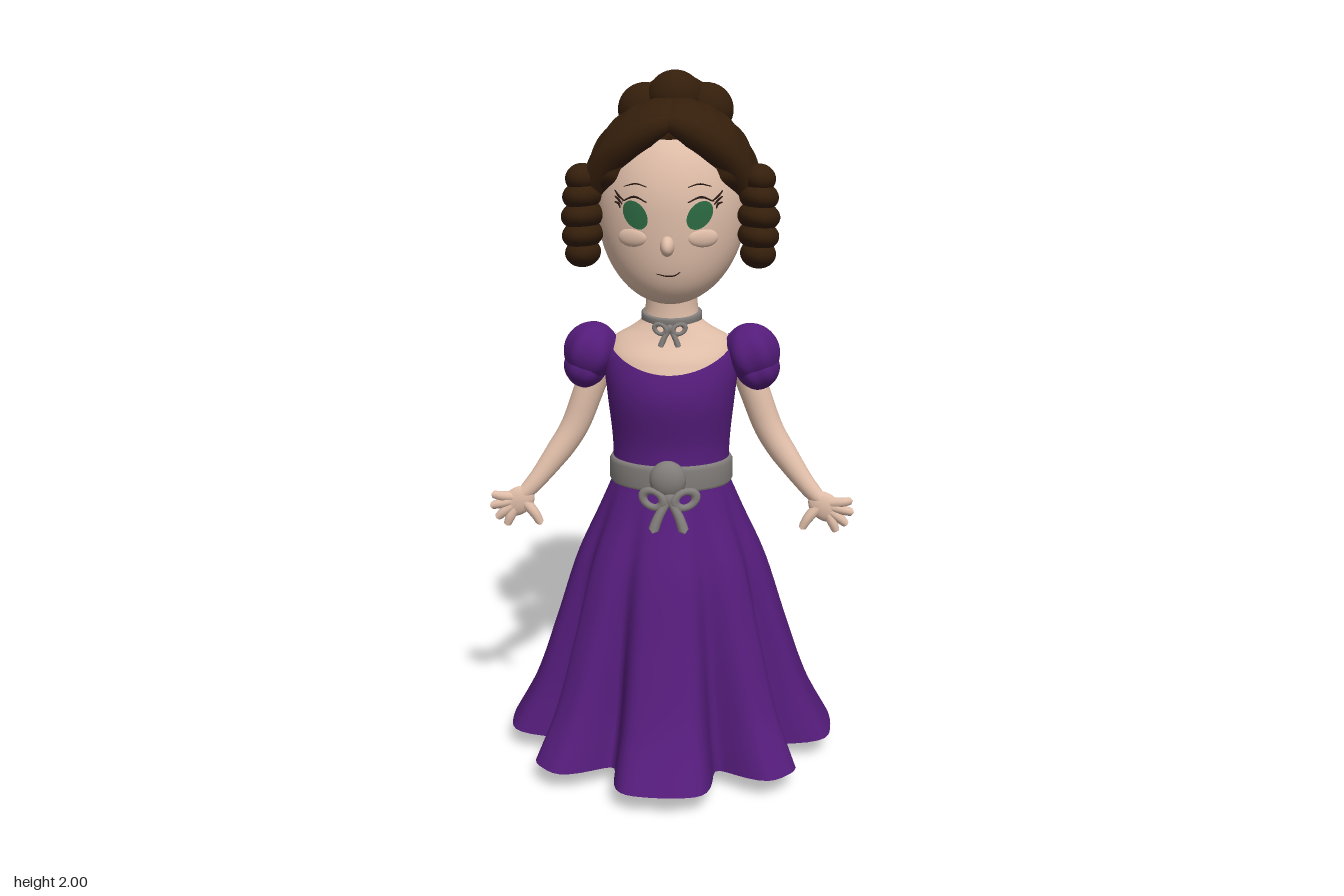
import * as THREE from 'three';
import { ParametricGeometry } from 'three/addons/geometries/ParametricGeometry.js';

const mat = (name, color) => Object.assign(new THREE.MeshStandardMaterial({ color }), { name });
const V = (x, y, z) => new THREE.Vector3(x, y, z);
const lerp = THREE.MathUtils.lerp, smooth = THREE.MathUtils.smoothstep;

// Smooth lookup in rows of [y, value, value...], y rising
function profile(rows) {
  return y => {
    let i = 0;
    while (i < rows.length - 2 && y > rows[i + 1][0]) i++;
    const b = rows[i], c = rows[i + 1], a = rows[i - 1] ?? b, d = rows[i + 2] ?? c;
    const h = c[0] - b[0], t = THREE.MathUtils.clamp((y - b[0]) / h, 0, 1);
    return b.slice(1).map((v, k) => {
      const m0 = h * (c[k + 1] - a[k + 1]) / (c[0] - a[0]), m1 = h * (d[k + 1] - v) / (d[0] - b[0]);
      const w = c[k + 1];
      return v + m0 * t + (3 * (w - v) - 2 * m0 - m1) * t * t + (2 * (v - w) + m0 + m1) * t ** 3;
    });
  };
}

// Tube with changing radius and a rounded tip
function limb(points, radii, segments = 20, sides = 14) {
  const curve = new THREE.CatmullRomCurve3(points);
  const g = new THREE.TubeGeometry(curve, segments, 1, sides), p = g.attributes.position, v = V();
  for (let i = 0; i <= segments; i++) {
    const t = i / segments, f = t * (radii.length - 1), k = Math.min(Math.floor(f), radii.length - 2);
    const tip = THREE.MathUtils.clamp((t - 0.85) / 0.15, 0, 1);
    const r = lerp(radii[k], radii[k + 1], f - k) * Math.sqrt(1 - tip * tip);
    const c = curve.getPointAt(t);
    for (let j = 0; j <= sides; j++) {
      const n = i * (sides + 1) + j;
      v.fromBufferAttribute(p, n).sub(c).multiplyScalar(r).add(c);
      p.setXYZ(n, v.x, v.y, v.z);
    }
  }
  return g;
}

// Front surface of the face
const faceZ = (x, y) => {
  const b = (y - 1.62) / 0.26;
  return -0.02 + 0.21 * Math.sqrt(Math.max(0, 1 - (x / 0.21) ** 2 - b * b)) + (b < 0 ? 0.08 * b * b : 0);
};

const torsoAt = profile([
  [0.83, 0.17, 0.15, 0.015], [0.95, 0.17, 0.145, 0.01], [1.1, 0.185, 0.158, 0.015],
  [1.2, 0.195, 0.14, 0], [1.25, 0.18, 0.115, -0.02], [1.285, 0.115, 0.085, -0.015],
  [1.315, 0.08, 0.07, -0.012], [1.42, 0.075, 0.068, -0.01]]);
const skirtAt = profile([[0.05, 0.495], [0.2, 0.415], [0.4, 0.345], [0.6, 0.28], [0.75, 0.212], [0.85, 0.168]]);

// Skirt with eight rounded folds that deepen toward the hem, wide ones alternating with narrow ones
function skirtPoint(u, y, inset, target) {
  const a = u * Math.PI * 2, t = (0.85 - y) / 0.79;
  const deg = Math.abs(((u * 360 + 45) % 90) - 45), wide = deg < 25.8;
  const w = Math.cos(Math.PI * (wide ? deg / 25.8 : (45 - deg) / 19.2));
  const fold = ((1 - w) / 2) ** (wide ? 4.5 : 2);
  const r = (skirtAt(y)[0] - inset) * (1 - 0.3 * Math.max(0, t) * fold);
  target.set(r * Math.sin(a), y - 0.012 * t * fold, r * Math.cos(a) * lerp(0.88, 1, t) + lerp(0.015, 0, t));
}

export function createModel() {
  const model = new THREE.Group();
  const skin = mat('skin', 0xdfbda8), purple = mat('purple cloth', 0x541c7a), brown = mat('brown hair', 0x341e0b);
  const gray = mat('gray ribbon', 0x817d7a), green = mat('green eyes', 0x2c6a42);
  const black = mat('black leather', 0x222222), dark = mat('dark lashes', 0x2a1a14);

  const add = (name, geo, m, pos, scale, rot) => {
    const mesh = new THREE.Mesh(geo, m);
    mesh.name = name;
    if (pos) mesh.position.set(...pos);
    if (scale) mesh.scale.set(...scale);
    if (rot) mesh.rotation.set(...rot);
    model.add(mesh);
  };
  const ball = new THREE.SphereGeometry(1, 28, 20);

  // Skirt: outside, broad hem lip and lining
  add('skirt', new ParametricGeometry((u, v, p) => skirtPoint(u, 0.062 + v * 0.785, 0, p), 160, 30), purple);
  add('skirtHem', new ParametricGeometry((u, v, p) => skirtPoint(u, 0.062, 0.08 * (1 - v), p), 160, 2), purple);
  add('skirtLining', new ParametricGeometry((u, v, p) => skirtPoint(u, 0.72 - v * 0.658, 0.08, p), 160, 20), purple);
  add('liningTop', new THREE.CircleGeometry(0.17, 32), purple, [0, 0.7, 0], null, [Math.PI / 2, 0, 0]);

  // Bodice with a scooped neckline, over chest and neck
  add('bodice', new ParametricGeometry((u, v, p) => {
    const a = u * Math.PI * 2, c = Math.cos(a);
    const top = 1.262 - (c > 0 ? 0.09 * c ** 1.5 : 0.025 * c * c);
    const y = lerp(0.83, top, v), [rx, rz, cz] = torsoAt(y);
    p.set(rx * Math.sin(a), y, cz + rz * c);
  }, 64, 30), purple);
  add('chestAndNeck', new ParametricGeometry((u, v, p) => {
    const a = u * Math.PI * 2, y = lerp(1.08, 1.42, v), [rx, rz, cz] = torsoAt(y);
    const k = lerp(0.95, 1, smooth(y, 1.25, 1.3));
    p.set(k * rx * Math.sin(a), y, cz + k * rz * Math.cos(a));
  }, 48, 30), skin);

  // Belt and choker bands
  const band = (r, h, t) => new THREE.LatheGeometry([[r - t, -h], [r - t / 3, -h], [r, -h * 0.7], [r, h * 0.7],
    [r - t / 3, h], [r - t, h]].map(q => new THREE.Vector2(...q)), 48);
  add('belt', band(0.18, 0.038, 0.02), gray, [0, 0.872, 0.014], [1, 1, 0.87]);
  add('choker', band(0.087, 0.014, 0.016), gray, [0, 1.317, -0.011], [1, 1, 0.9], [0.2, 0, 0]);

  // Bows: knot, two loops and two tails each
  const bow = (name, x, y, z, s, lean) => {
    add(name + 'Knot', ball, gray, [x, y, z], [0.2 * s, 0.2 * s, 0.13 * s]);
    for (const k of [-1, 1]) {
      add(name + 'Loop', new THREE.TorusGeometry(0.25 * s, 0.11 * s, 10, 20), gray,
        [x + k * 0.4 * s, y, z], [1.1, 0.8, 0.8], [0, k * 0.3, k * 0.35]);
      add(name + 'Tail', limb([V(x, y, z), V(x + k * 0.25 * s, y - 0.4 * s, z + lean * 0.6),
        V(x + k * 0.4 * s, y - 0.8 * s, z + lean)], [0.09 * s, 0.12 * s, 0.14 * s], 10, 8), gray);
    }
  };
  bow('beltBow', 0.005, 0.823, 0.186, 0.115, 0.03);
  bow('chokerBow', 0, 1.29, 0.08, 0.066, 0.012);
  add('beltRosette', ball, gray, [0, 0.876, 0.17], [0.052, 0.055, 0.034]);

  // Head and nose
  const head = new THREE.SphereGeometry(1, 48, 36), hp = head.attributes.position;
  for (let i = 0; i < hp.count; i++) {
    const b = hp.getY(i);
    hp.setXYZ(i, hp.getX(i) * 0.21, 1.62 + 0.26 * b, -0.02 + 0.21 * hp.getZ(i) + (b < 0 ? 0.08 * b * b : 0));
  }
  head.computeVertexNormals();
  add('head', head, skin);
  add('nose', ball, skin, [0, 1.535, 0.182], [0.02, 0.027, 0.036], [0.35, 0, 0]);

  // Lines laid on the face
  const faceLine = (name, pts, r) => add(name, limb(pts.map(([x, y]) => V(x, y, faceZ(x, y) + 0.001)),
    [r * 0.5, r, r * 0.5], 14, 6), dark);
  faceLine('mouth', [[-0.03, 1.458], [0, 1.452], [0.022, 1.455], [0.036, 1.465]], 0.0024);

  // Hair cap: hairline high in front, low at the nape, grooves running to the bun
  add('hair', new ParametricGeometry((u, v, p) => {
    const f = u * Math.PI * 2, s = Math.sin(f);
    const th = Math.max(v, 0.001) * THREE.MathUtils.degToRad(lerp(78, 137, smooth(s, -0.6, 0.35)));
    const x = Math.sin(th) * Math.cos(f), y = Math.sin(th) * s, z = -Math.cos(th);
    const around = Math.atan2(x, 0.76 * y + 0.65 * z);
    const part = y > 0 ? 0.02 * Math.exp(-((x / 0.05) ** 2)) * smooth(z, -0.5, 0) : 0;
    const edge = 0.14 * Math.max(0, (v - 0.9) / 0.1) ** 2;
    const k = 1 + 0.007 * Math.cos(24 * around) * (1 - smooth(z, 0, 0.6)) - part - edge;
    p.set(0.252 * x * k, 1.66 + 0.263 * y * k, -0.05 + (z > 0 ? 0.28 : 0.235) * z * k);
  }, 160, 56), brown);

  // Bun: ring of lobes round a dome, tilted up and back
  add('bunCenter', ball, brown, [0, 1.868, -0.228], [0.128, 0.12, 0.12]);
  for (let i = 0; i < 6; i++) {
    const a = i / 6 * Math.PI * 2, c = Math.cos(a) * 0.09;
    add('bunLobe', ball, brown, [0.088 * Math.sin(a) / 0.866, 1.853 + 0.76 * c, -0.22 + 0.65 * c], [0.08, 0.077, 0.074]);
  }

  for (const s of [1, -1]) {
    // Swept front lock along the hairline
    add('frontLock', limb([V(s * -0.008, 1.855, 0.1), V(s * 0.05, 1.838, 0.122), V(s * 0.115, 1.8, 0.118),
      V(s * 0.175, 1.745, 0.09), V(s * 0.22, 1.66, 0.05)], [0.022, 0.042, 0.045, 0.042, 0.03], 28, 16), brown);

    // Eye, lid fold, lashes and brow
    const eye = new THREE.RingGeometry(0.001, 1, 28, 6), ep = eye.attributes.position;
    for (let i = 0; i < ep.count; i++) {
      const ex = ep.getX(i) * 0.033, ey = ep.getY(i) * 0.038;
      const x = s * 0.087 + ex + s * 0.3 * ey, y = 1.616 + ey;
      ep.setXYZ(i, x, y, faceZ(x, y) + 0.004);
    }
    eye.computeVertexNormals();
    add('eye', eye, green);
    add('lowerLid', ball, skin, [s * 0.095, 1.555, faceZ(0.095, 1.555) - 0.006], [0.045, 0.026, 0.013], [0, s * 0.45, 0]);
    faceLine('upperLashes', [[s * 0.055, 1.65], [s * 0.09, 1.664], [s * 0.125, 1.65]], 0.003);
    for (const k of [0, 1, 2])
      faceLine('lash', [[s * (0.118 + k * 0.006), 1.652 - k * 0.01], [s * 0.134, 1.664 - k * 0.01], [s * 0.147, 1.68 - k * 0.016]], 0.0035);
    faceLine('brow', [[s * 0.055, 1.69], [s * 0.085, 1.698], [s * 0.12, 1.69]], 0.0022);

    // Side curls: stacked coils
    [[1.706, 0.046, 0.066], [1.658, 0.055, 0.078], [1.605, 0.06, 0.082], [1.552, 0.058, 0.08], [1.502, 0.05, 0.068]]
      .forEach(([y, rx, rz]) => add('curl', ball, brown, [s * 0.244, y, 0.058], [rx, 0.041, rz], [0, 0, s * -0.12]));

    // Puff sleeve with soft gathers, and its lower puff
    const puff = new THREE.SphereGeometry(1, 48, 24), pp = puff.attributes.position;
    for (let i = 0; i < pp.count; i++) {
      const x = pp.getX(i), z = pp.getZ(i), k = 1 + 0.05 * Math.cos(6 * Math.atan2(z, x)) * Math.hypot(x, z);
      pp.setXYZ(i, x * k, pp.getY(i), z * k);
    }
    puff.computeVertexNormals();
    add('puffSleeve', puff, purple, [s * 0.23, 1.212, 0.004], [0.078, 0.085, 0.094], [0, 0, s * 0.3]);
    add('sleeveCuff', puff, purple, [s * 0.248, 1.165, 0.004], [0.062, 0.06, 0.083], [0, 0, s * 0.35]);

    // Arm and hand
    add('arm', limb([V(s * 0.205, 1.2, -0.01), V(s * 0.244, 1.09, -0.006), V(s * 0.288, 0.98, 0),
      V(s * 0.352, 0.885, 0.02), V(s * 0.41, 0.812, 0.038), V(s * 0.46, 0.765, 0.048)],
      [0.047, 0.044, 0.042, 0.038, 0.028, 0.022], 30, 18), skin);
    add('palm', ball, skin, [s * 0.45, 0.766, 0.047], [0.054, 0.04, 0.019], [0, 0, s * -0.7]);
    [[0.53, 0.787], [0.535, 0.75], [0.517, 0.712], [0.486, 0.69], [0.382, 0.695]].forEach(([x, y], i) => {
      const thumb = i === 4, a = thumb ? [0.435, 0.77] : [0.458, 0.778 - i * 0.009];
      add(thumb ? 'thumb' : 'finger', limb([V(s * a[0], a[1], 0.047),
        V(s * (lerp(a[0], x, 0.55) + (thumb ? -0.004 : 0)), lerp(a[1], y, 0.5), 0.053), V(s * x, y, 0.05)],
        [0.017, 0.015, 0.011], 12, 10), skin);
    });

    // Boot: shaft, foot, sole and heel, toes turned out
    add('bootShaft', limb([V(s * 0.125, 0.03, 0.005), V(s * 0.122, 0.11, 0.003), V(s * 0.12, 0.19, 0)],
      [0.043, 0.044, 0.052], 14, 16), black);
    add('bootFoot', limb([V(s * 0.118, 0.05, -0.01), V(s * 0.155, 0.046, 0.05), V(s * 0.187, 0.038, 0.11), V(s * 0.22, 0.032, 0.178)],
      [0.036, 0.044, 0.038, 0.032], 18, 16), black);
    add('bootSole', new THREE.CylinderGeometry(1, 1, 1, 28), black, [s * 0.188, 0.007, 0.106], [0.04, 0.014, 0.076], [0, s * 0.48, 0]);
    add('bootHeel', new THREE.CylinderGeometry(0.037, 0.034, 0.045, 20), black, [s * 0.123, 0.0225, 0.004]);
  }
  return model;
}
